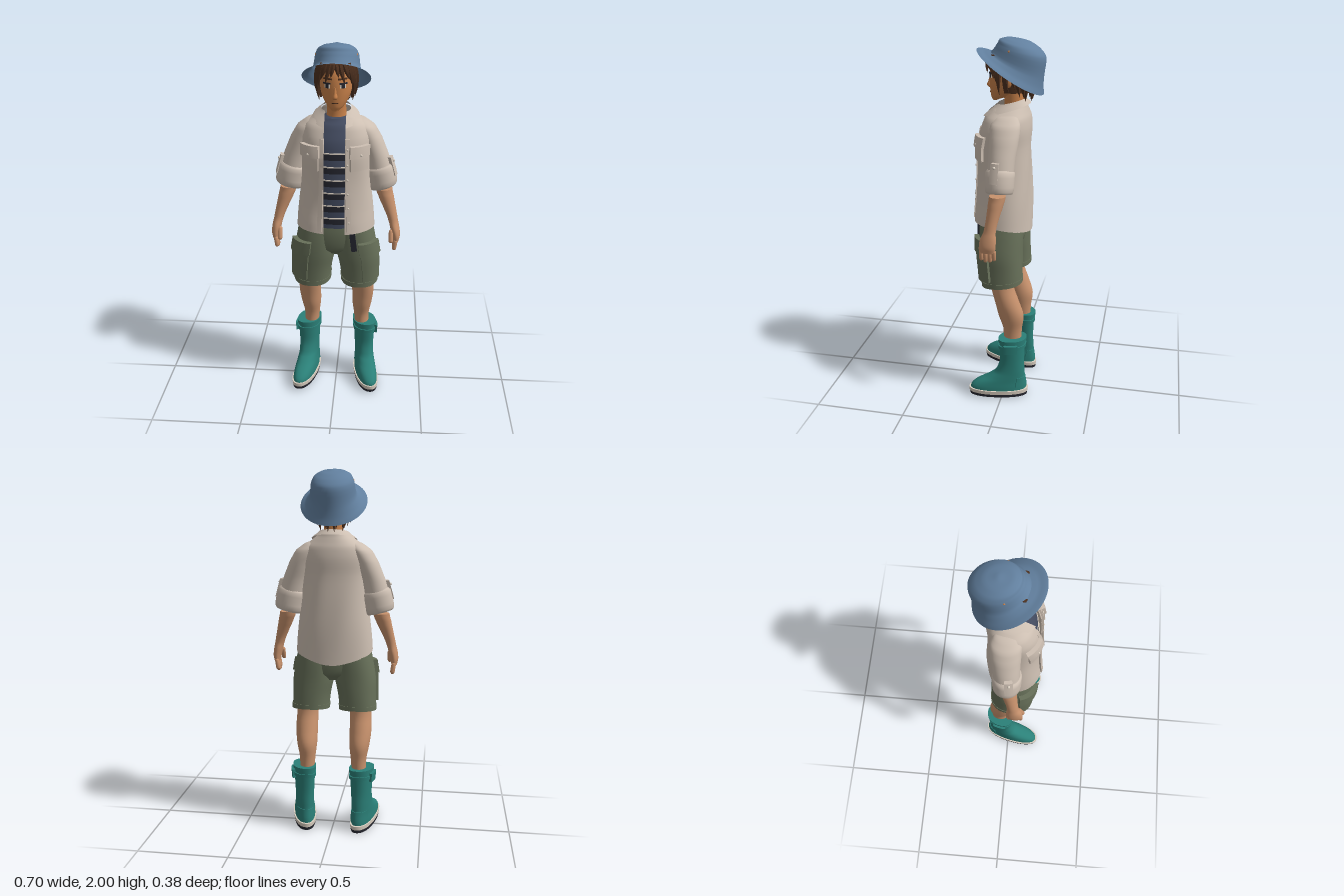
import * as THREE from 'three';
import { toCreasedNormals } from 'three/addons/utils/BufferGeometryUtils.js';

const DEG = Math.PI / 180;
const mat = (name, color) => Object.assign(new THREE.MeshStandardMaterial({ color, side: THREE.DoubleSide }), { name });

// A cross-section is [y, x, z, radiusX, radiusZ, tiltFront, tiltSide, squareness]; lists run upwards.
const full = s => [0, 0, 0, 0, 0, 0, 0, 2].map((d, i) => s[i] ?? d);
function at(secs, u) {
  const last = secs.length - 1, i = Math.min(Math.floor(u), last - 1), t = u - i;
  const [a, b, c, d] = [i - 1, i, i + 1, i + 2].map(k => full(secs[Math.max(0, Math.min(last, k))]));
  return b.map((_, k) => k === 0 ? b[0] + (c[0] - b[0]) * t :
    0.5 * (2 * b[k] + (c[k] - a[k]) * t + (2 * a[k] - 5 * b[k] + 4 * c[k] - d[k]) * t * t + (3 * b[k] - a[k] - 3 * c[k] + d[k]) * t * t * t));
}
function levelOf(secs, y) {
  for (let i = 0; i < secs.length - 1; i++)
    if (y <= secs[i + 1][0]) return i + Math.max(0, (y - secs[i][0]) / (secs[i + 1][0] - secs[i][0]));
  return secs.length - 1;
}
// Point on a section; angle 0 is the front, 90 degrees is +x
function ringPoint(s, th, off = 0) {
  const e = 2 / s[7], pw = v => Math.sign(v) * Math.abs(v) ** e, c = Math.cos(th), n = Math.sin(th);
  return new THREE.Vector3(s[1] + (s[3] + off) * pw(n), s[0] + s[5] * c + s[6] * n, s[2] + (s[4] + off) * pw(c));
}
const on = (secs, y, deg, off) => ringPoint(at(secs, levelOf(secs, y)), deg * DEG, off);

function gridGeometry(rows, caps = [false, false]) {
  const n = rows[0].length, pts = rows.flat(), idx = [];
  for (let i = 0; i < rows.length - 1; i++) for (let j = 0; j < n - 1; j++) {
    const a = i * n + j;
    idx.push(a, a + 1, a + n + 1, a, a + n + 1, a + n);
  }
  caps.forEach((on, top) => {
    if (!on) return;
    const row = top ? rows.length - 1 : 0, mid = new THREE.Vector3();
    rows[row].slice(1).forEach(p => mid.addScaledVector(p, 1 / (n - 1)));
    const c = pts.push(mid) - 1;
    for (let j = 0; j < n - 1; j++) top ? idx.push(c, row * n + j, row * n + j + 1) : idx.push(c, j + 1, j);
  });
  const g = new THREE.BufferGeometry().setFromPoints(pts);
  g.setIndex(idx);
  return g;
}
// Skin over cross-sections; gap leaves the front open by that half width
function loft(secs, { sub = 4, seg = 36, gap = 0, caps = [!gap, !gap], post = p => p } = {}) {
  const rows = [];
  for (let k = 0; k <= (secs.length - 1) * sub; k++) {
    const s = at(secs, k / sub), a = gap ? Math.asin((gap / s[3]) ** (s[7] / 2)) : 0;
    rows.push(Array.from({ length: seg + 1 }, (_, j) => post(ringPoint(s, a + (2 * Math.PI - 2 * a) * j / seg))));
  }
  return gridGeometry(rows, caps);
}
// Raised plate that follows a lofted surface
function patch(secs, y0, y1, d0, d1, off, post = p => p) {
  const nu = Math.max(3, Math.ceil((d1 - d0) / 8)), nv = 6, rows = [];
  const clamp = (k, n) => Math.max(0, Math.min(n, k)) / n;
  for (let i = -1; i <= nv + 1; i++) {
    const row = [];
    for (let j = -1; j <= nu + 1; j++) {
      const rim = i < 0 || i > nv || j < 0 || j > nu;
      row.push(post(on(secs, y0 + (y1 - y0) * clamp(i, nv), d0 + (d1 - d0) * clamp(j, nu), rim ? -0.004 : off)));
    }
    rows.push(row);
  }
  return gridGeometry(rows);
}
const ball = (p, x, y, z) => new THREE.SphereGeometry(1, 14, 10).scale(x, y, z).translate(p.x, p.y, p.z);

export function createModel() {
  const model = new THREE.Group();
  model.name = 'youngFisher';
  const M = {
    hat: mat('hatBlue', 0x62809f), shirt: mat('shirtBeige', 0xcdbfb2), shorts: mat('shortsOlive', 0x677059),
    boot: mat('bootTeal', 0x2b8078), skin: mat('skin', 0xc8926d), face: mat('faceTan', 0xc8814a),
    hair: mat('hairBrown', 0x4c301f), tee: mat('teeNavy', 0x434b60), cream: mat('cream', 0xd9cec0), dark: mat('charcoal', 0x25262f),
  };
  const put = (name, geo, m) => {
    const g = toCreasedNormals(geo.scale(100, 100, 100), 0.9).scale(0.01, 0.01, 0.01);
    const mesh = new THREE.Mesh(g, m);
    mesh.name = name;
    model.add(mesh);
  };
  const pair = (name, geo, m) => {
    const other = geo.clone().scale(-1, 1, 1);
    other.setIndex(Array.from(other.index.array).reverse());
    const cap = name[0].toUpperCase() + name.slice(1);
    put('left' + cap, geo, m);
    put('right' + cap, other, m);
  };

  // Head and face
  const head = [[1.68, 0, 0.072, 0.018, 0.014], [1.7, 0, 0.047, 0.042, 0.047], [1.73, 0, 0.02, 0.064, 0.078], [1.77, 0, 0.008, 0.078, 0.092],
    [1.82, 0, 0, 0.083, 0.1], [1.87, 0, -0.008, 0.082, 0.1], [1.92, 0, -0.018, 0.068, 0.083], [1.95, 0, -0.02, 0.035, 0.045]];
  put('head', loft(head), M.face);
  put('neck', loft([[1.57, 0, -0.03, 0.062, 0.06], [1.65, 0, -0.03, 0.05, 0.052], [1.75, 0, -0.025, 0.05, 0.056]]), M.face);
  put('nose', loft([[1.744, 0, 0.096, 0.011, 0.01], [1.754, 0, 0.096, 0.014, 0.021], [1.775, 0, 0.096, 0.009, 0.014], [1.805, 0, 0.094, 0.007, 0.008]], { seg: 14 }), M.face);
  put('mouth', patch(head, 1.721, 1.726, -15, 15, 0.002), M.hair);
  pair('ear', ball(new THREE.Vector3(0.085, 1.785, -0.015), 0.01, 0.028, 0.018), M.face);
  pair('eyeWhite', patch(head, 1.8, 1.822, 18, 40, 0.002), M.cream);
  pair('iris', patch(head, 1.8, 1.822, 23, 34, 0.004), M.dark);
  pair('eyelash', patch(head, 1.82, 1.827, 15, 43, 0.005), M.dark);
  pair('eyebrow', patch(head, 1.842, 1.85, 11, 43, 0.004), M.hair);

  // Hair: a cap behind the face and tapering locks around it
  const scalp = [[1.68, 0, -0.02, 0.07, 0.085], [1.75, 0, -0.01, 0.082, 0.1], [1.82, 0, -0.004, 0.088, 0.105], [1.92, 0, -0.008, 0.08, 0.098]];
  put('hairCap', patch(scalp, 1.73, 1.9, 78, 282, 0.006), M.hair);
  const lock = (deg, yRoot, yTip, w, sway) => {
    const curve = new THREE.QuadraticBezierCurve3(on(scalp, yRoot, deg, 0.004),
      on(scalp, (yRoot + yTip) / 2, deg + sway * 0.3, 0.024), on(scalp, yTip, deg + sway, 0.016));
    const g = new THREE.ConeGeometry(1, 1, 6, 6), pos = g.attributes.position;
    for (let i = 0; i < pos.count; i++) {
      const t = pos.getY(i) + 0.5, p = curve.getPoint(t), k = w * (1 + t);
      pos.setXYZ(i, p.x - pos.getX(i) * k, p.y, p.z + pos.getZ(i) * k);
    }
    return g;
  };
  [[4, 1.92, 1.855, 0.014, 8], [16, 1.92, 1.825, 0.016, 12], [30, 1.92, 1.84, 0.018, 14], [45, 1.92, 1.8, 0.018, 12], [58, 1.91, 1.765, 0.018, 8],
    [70, 1.9, 1.72, 0.018, -6], [84, 1.89, 1.735, 0.019, 8], [98, 1.88, 1.75, 0.019, 12], [113, 1.87, 1.71, 0.019, 8], [128, 1.85, 1.7, 0.019, 6],
    [143, 1.84, 1.685, 0.019, -5], [158, 1.83, 1.695, 0.019, 6], [173, 1.83, 1.682, 0.019, -4]]
    .forEach((l, i) => pair('hairLock' + (i + 1), lock(...l), M.hair));

  // Bucket hat, tipped back
  put('hat', loft([[1.828, 0, -0.008, 0.176, 0.173, 0.112], [1.843, 0, -0.026, 0.147, 0.152, 0.088], [1.868, 0, -0.045, 0.122, 0.136, 0.06],
    [1.935, 0, -0.065, 0.111, 0.126, 0.033], [1.967, 0, -0.058, 0.095, 0.105, 0.024], [1.986, 0, -0.052, 0.062, 0.068, 0.013],
    [1.995, 0, -0.05, 0.01, 0.01, 0.001]], { seg: 48, caps: [false, true] }), M.hat);
  pair('hatEyelet', ball(new THREE.Vector3(0.102, 1.942, -0.02), 0.006, 0.006, 0.006), M.face);

  // Striped tee
  const tee = [[1.05, 0, 0.02, 0.185, 0.122], [1.2, 0, 0.022, 0.175, 0.122], [1.4, 0, 0.022, 0.16, 0.12], [1.52, 0, 0.012, 0.158, 0.113],
    [1.6, 0, 0, 0.115, 0.085], [1.63, 0, -0.01, 0.07, 0.065]];
  put('tee', loft(tee), M.tee);
  for (let i = 0; i < 6; i++) {
    const y = 1.075 + i * 0.072;
    put('teeDarkStripe' + (i + 1), patch(tee, y, y + 0.032, -32, 32, 0.003), M.dark);
    put('teePaleStripe' + (i + 1), patch(tee, y + 0.032, y + 0.038, -32, 32, 0.004), M.cream);
  }

  // Open shirt with a curved hem
  const shirt = [[1.015, 0, 0.027, 0.21, 0.152], [1.15, 0, 0.022, 0.2, 0.147], [1.3, 0, 0.022, 0.183, 0.143], [1.45, 0, 0.024, 0.178, 0.14],
    [1.54, 0, 0.012, 0.18, 0.132], [1.6, 0, 0.003, 0.16, 0.117], [1.64, 0, -0.005, 0.11, 0.095], [1.67, 0, -0.012, 0.076, 0.078]]
    .map(s => [...s, 0, 0, 2.3]);
  const hem = p => {
    const w = 1 - THREE.MathUtils.smoothstep(p.y, 1.0, 1.2), th = Math.atan2(p.x, p.z - 0.025);
    p.y += w * (0.03 * Math.cos(th) - 0.015 * Math.cos(2 * th));
    p.z += 0.003 * Math.sin(26 * p.x + 11 * p.y);
    return p;
  };
  put('shirt', loft(shirt, { gap: 0.055, seg: 60, post: hem }), M.shirt);
  put('shirtCollar', loft([[1.635, 0, 0.012, 0.122, 0.127, -0.035], [1.675, 0, 0, 0.078, 0.088, -0.02]], { gap: 0.055, sub: 3 }), M.shirt);
  pair('placket', patch(shirt, 1.03, 1.55, 15, 22, 0.006, hem), M.shirt);
  pair('chestPocket', patch(shirt, 1.385, 1.47, 23, 60, 0.014, hem), M.shirt);
  pair('chestPocketFlap', patch(shirt, 1.455, 1.515, 21, 62, 0.021, hem), M.shirt);
  pair('pocketButton', ball(on(shirt, 1.47, 40, 0.022), 0.007, 0.007, 0.005), M.cream);
  for (let i = 0; i < 6; i++) put('shirtButton' + (i + 1), ball(on(shirt, 1.1 + i * 0.08, 18, 0.007), 0.006, 0.006, 0.004), M.cream);

  // Sleeves with rolled cuffs
  const sleeve = [[1.29, 0.242, 0, 0.07, 0.068], [1.42, 0.212, -0.005, 0.067, 0.07], [1.52, 0.175, -0.01, 0.064, 0.077],
    [1.58, 0.145, -0.01, 0.058, 0.077], [1.615, 0.115, -0.01, 0.04, 0.058], [1.635, 0.09, -0.01, 0.015, 0.03]];
  const cuff = [[1.25, 0.25, 0, 0.07, 0.066, 0, 0.018], [1.262, 0.248, 0, 0.077, 0.073, 0, 0.018], [1.31, 0.24, 0, 0.078, 0.075, 0, 0.018],
    [1.358, 0.228, 0, 0.077, 0.075, 0, 0.018], [1.368, 0.225, 0, 0.068, 0.068, 0, 0.018]];
  pair('sleeve', loft(sleeve), M.shirt);
  pair('cuff', loft(cuff, { sub: 2 }), M.shirt);
  pair('sleeveTab', patch(sleeve, 1.32, 1.42, 62, 92, 0.018), M.shirt);
  pair('sleeveTabButton', ball(on(sleeve, 1.4, 77, 0.019), 0.008, 0.008, 0.008), M.cream);

  // Forearms and hands
  pair('forearm', loft([[1.24, 0.257, 0.008, 0.044, 0.043], [1.2, 0.268, 0.014, 0.042, 0.041], [1.12, 0.294, 0.028, 0.032, 0.033],
    [1.06, 0.312, 0.038, 0.026, 0.032], [1.02, 0.322, 0.045, 0.025, 0.042], [0.98, 0.329, 0.048, 0.022, 0.044], [0.95, 0.329, 0.048, 0.016, 0.04]]), M.skin);
  [[0.014, 0.935], [0.036, 0.925], [0.059, 0.924], [0.081, 0.934]].forEach(([z, y], i) =>
    pair('finger' + (i + 1), new THREE.CapsuleGeometry(0.0115, 0.042, 4, 10).rotateZ(-0.15).translate(0.324, y, z), M.skin));
  pair('thumb', new THREE.CapsuleGeometry(0.0125, 0.05, 4, 10).rotateX(-0.35).translate(0.302, 0.985, 0.08), M.skin);

  // Cargo shorts
  const leg = [[0.695, 0.132, 0.01, 0.102, 0.11, -0.015], [0.78, 0.127, 0.014, 0.105, 0.113, -0.006], [0.87, 0.117, 0.02, 0.113, 0.117],
    [0.97, 0.107, 0.022, 0.107, 0.118], [1.07, 0.098, 0.022, 0.097, 0.112]].map(s => [...s, ...(s.length < 6 ? [0] : []), 0, 2.3]);
  pair('shortsLeg', loft(leg), M.shorts);
  pair('shortsHem', patch(leg, 0.692, 0.722, 0, 360, 0.003), M.shorts);
  put('shortsHips', loft([[0.87, 0, 0.018, 0.1, 0.07], [0.91, 0, 0.02, 0.19, 0.105], [1.0, 0, 0.022, 0.205, 0.114], [1.09, 0, 0.02, 0.185, 0.11]]), M.shorts);
  pair('cargoPocket', patch(leg, 0.735, 0.91, 10, 70, 0.018), M.shorts);
  pair('cargoPocketFlap', patch(leg, 0.89, 0.965, 7, 73, 0.025), M.shorts);
  put('beltStrap', new THREE.BoxGeometry(0.03, 0.11, 0.012).rotateZ(0.12).translate(0.1, 0.975, 0.146), M.dark);

  // Bare legs
  pair('shin', loft([[0.33, 0.148, -0.05, 0.04, 0.05], [0.42, 0.145, -0.05, 0.044, 0.053], [0.5, 0.148, -0.042, 0.056, 0.07],
    [0.58, 0.152, -0.021, 0.061, 0.067], [0.68, 0.15, 0.008, 0.06, 0.063], [0.76, 0.145, 0.012, 0.065, 0.068]]), M.skin);

  // Rubber boots, toes turned out
  const splay = p => { p.x += 0.2 * (p.z + 0.05); return p; };
  const boot = [[0.035, 0.162, 0.026, 0.06, 0.155], [0.065, 0.162, 0.025, 0.06, 0.153], [0.092, 0.162, 0.012, 0.058, 0.136], [0.12, 0.163, -0.014, 0.055, 0.106],
    [0.155, 0.163, -0.038, 0.053, 0.081], [0.22, 0.163, -0.05, 0.054, 0.067], [0.3, 0.163, -0.052, 0.058, 0.068], [0.37, 0.163, -0.053, 0.061, 0.072]]
    .map(s => [...s, 0, 0, 2.25]);
  pair('boot', loft(boot, { post: splay }), M.boot);
  pair('bootRim', patch(boot, 0.352, 0.37, 0, 360, 0.005, splay), M.boot);
  pair('bootStrap', patch(boot, 0.312, 0.332, 0, 360, 0.006, splay), M.boot);
  pair('bootBuckle', patch(boot, 0.295, 0.345, 65, 115, 0.017, splay), M.boot);
  pair('bootHeelPatch', patch(boot, 0.05, 0.12, 130, 230, 0.004, splay), M.boot);
  const tread = (y0, y1, r) => [[y0, 0.162, 0.025, 0.058 + r, 0.157 + r, 0.006, 0, 2.25], [y1, 0.162, 0.025, 0.06 + r, 0.158 + r, 0.006, 0, 2.25]];
  pair('soleEdge', loft(tread(0.024, 0.046, 0.007), { sub: 1, post: splay }), M.cream);
  pair('sole', loft(tread(0.006, 0.026, 0.004), { sub: 1, post: splay }), M.dark);
  return model;
}
